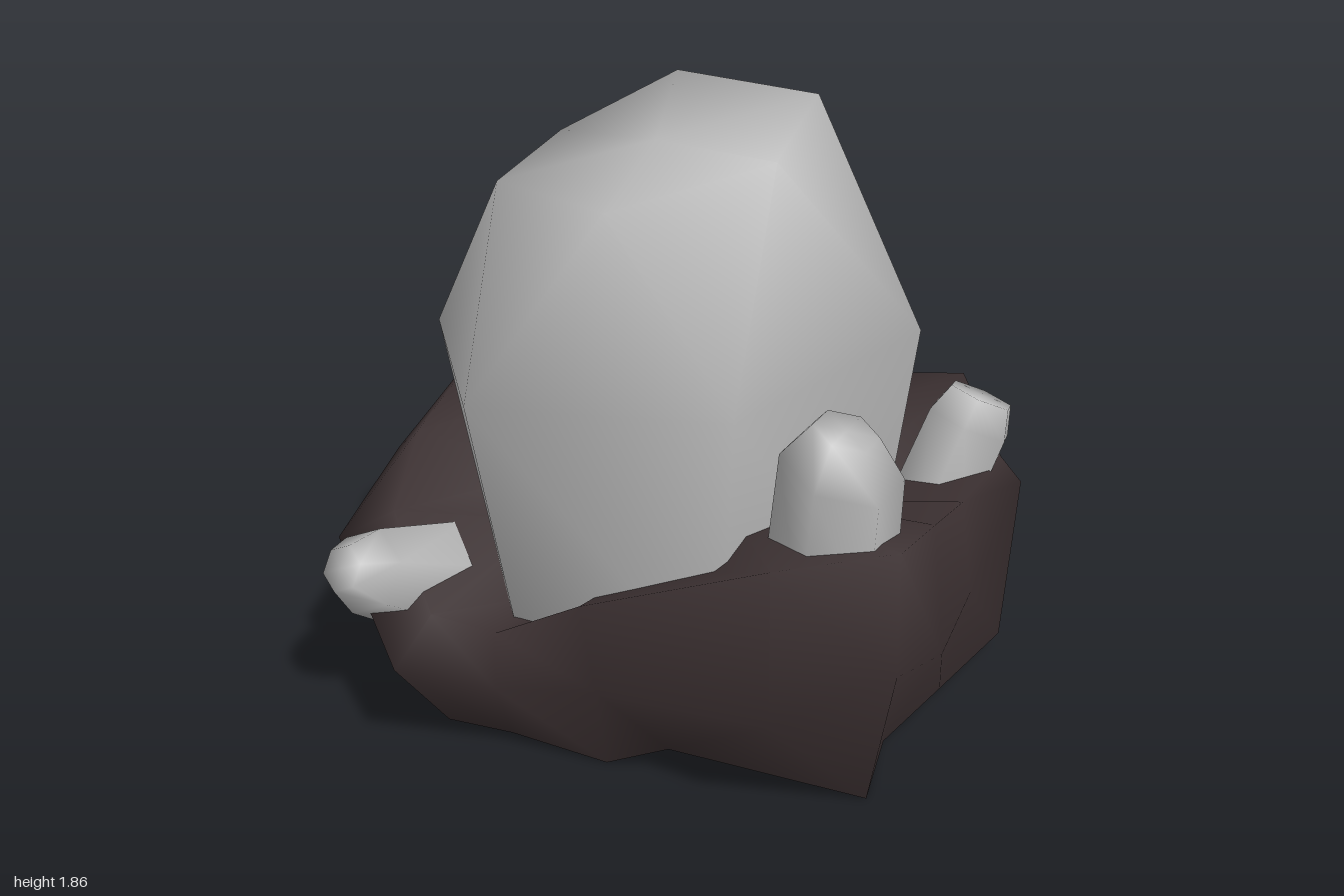
import * as THREE from 'three';

const rockMaterial = new THREE.MeshStandardMaterial({ color: 0x3a2f30 });
rockMaterial.name = 'dark brown rock';
const crystalMaterial = new THREE.MeshStandardMaterial({ color: 0xb6b6b6 });
crystalMaterial.name = 'pale grey crystal';

// Skin a stack of rings (each listed counter-clockwise seen from above)
function loft(rings, { capTop = false, capBottom = false } = {}) {
  const n = rings[0].length;
  const points = rings.flat();
  const index = [];
  for (let r = 0; r < rings.length - 1; r++) {
    for (let j = 0; j < n; j++) {
      const k = (j + 1) % n;
      const a = r * n + j, b = r * n + k, c = a + n, d = b + n;
      index.push(a, b, c, b, d, c);
    }
  }
  const mean = (ring) => [0, 1, 2].map((i) => ring.reduce((s, p) => s + p[i], 0) / n);
  if (capTop) {
    const start = (rings.length - 1) * n;
    const centre = points.push(mean(rings[rings.length - 1])) - 1;
    for (let j = 0; j < n; j++) index.push(centre, start + j, start + (j + 1) % n);
  }
  if (capBottom) {
    // own vertices keep the lower edge sharp
    const start = points.length;
    points.push(...rings[0]);
    const centre = points.push(mean(rings[0])) - 1;
    for (let j = 0; j < n; j++) index.push(centre, start + (j + 1) % n, start + j);
  }
  const geometry = new THREE.BufferGeometry();
  geometry.setAttribute('position', new THREE.Float32BufferAttribute(points.flat(), 3));
  geometry.setIndex(index);
  geometry.computeVertexNormals();
  return geometry;
}

function addMesh(group, name, geometry, material) {
  const mesh = new THREE.Mesh(geometry, material);
  mesh.name = name;
  group.add(mesh);
  return mesh;
}

// Rough rock bed: foot, widest ring, rim, and a lip tucked inside the crystal
function rockGeometry() {
  const foot = [
    [-0.86, 0, 0.13], [-0.79, 0.02, 0.45], [-0.55, 0.06, 0.74], [-0.35, 0.04, 0.72], [-0.05, 0, 0.72],
    [0.15, 0.11, 0.74], [0.72, 0, 0.65], [0.72, 0.02, 0.4], [0.84, 0.03, 0.1], [0.98, 0.06, -0.22],
    [0.74, 0.02, -0.53], [0.27, 0.12, -0.65], [-0.05, 0, -0.73], [-0.33, 0, -0.45], [-0.61, 0, -0.14],
  ];
  const waist = [
    [-1, 0.6, 0.1], [-0.95, 0.55, 0.6], [-0.6, 0.37, 0.95], [-0.33, 0.3, 0.86], [-0.05, 0.3, 0.79],
    [0.5, 0.42, 0.95], [0.8, 0.5, 0.74], [0.88, 0.4, 0.45], [0.91, 0.4, 0.1], [1, 0.6, -0.28],
    [0.78, 0.4, -0.58], [0.4, 0.45, -0.65], [-0.08, 0.33, -0.76], [-0.57, 0.45, -0.66], [-0.88, 0.5, -0.41],
  ];
  const rim = [
    [-0.93, 0.67, 0.08], [-0.82, 0.6, 0.48], [-0.56, 0.46, 0.78], [-0.35, 0.45, 0.8], [-0.1, 0.57, 0.77],
    [0.48, 0.86, 0.89], [0.79, 0.88, 0.73], [0.83, 0.8, 0.42], [0.86, 0.68, 0.05], [0.93, 0.68, -0.28],
    [0.76, 0.83, -0.55], [0.4, 0.76, -0.6], [-0.08, 0.7, -0.63], [-0.5, 0.85, -0.58], [-0.83, 0.89, -0.43],
  ];
  const lip = rim.map(([x, y, z]) => [x * 0.5, y - 0.1, z * 0.5]);
  return loft([foot, waist, rim, lip], { capBottom: true });
}

// Main crystal: six sides, leaning shoulders and a slanted, twisted crown
function mainCrystalGeometry() {
  const root = [
    [-0.65, 0.3, 0.13], [-0.34, 0.3, 0.65], [0.28, 0.3, 0.64],
    [0.6, 0.3, 0.12], [0.31, 0.3, -0.48], [-0.36, 0.3, -0.47],
  ];
  const shoulder = [
    [-0.8, 1.1, 0.13], [-0.41, 1.15, 0.78], [0.34, 1.2, 0.75],
    [0.71, 1.25, 0.12], [0.34, 1.41, -0.53], [-0.41, 1.36, -0.5],
  ];
  const crown = [
    [-0.46, 1.66, 0.38], [-0.05, 1.69, 0.64], [0.34, 1.78, 0.36],
    [0.35, 1.86, -0.06], [-0.12, 1.86, -0.21], [-0.36, 1.75, 0.14],
  ];
  return loft([root, shoulder, crown], { capTop: true });
}

// Small six-sided crystal growing from one point towards another
function addShard(group, name, from, to, { root, shoulder, tip, turn = 0, slant = 0, width = 1 }) {
  const start = new THREE.Vector3(...from);
  const axis = new THREE.Vector3(...to).sub(start);
  const length = axis.length();
  const ring = (radius, height, tilt) => Array.from({ length: 6 }, (_, j) => {
    const a = turn + (j * Math.PI) / 3;
    const x = -Math.cos(a) * radius * width;
    return [x, height + x * tilt, Math.sin(a) * radius];
  });
  const geometry = loft([
    ring(root, 0, 0), ring(shoulder, length * 0.78, slant), ring(tip, length, slant),
  ], { capTop: true, capBottom: true });
  const mesh = addMesh(group, name, geometry, crystalMaterial);
  mesh.position.copy(start);
  mesh.quaternion.setFromUnitVectors(new THREE.Vector3(0, 1, 0), axis.normalize());
}

export function createModel() {
  const model = new THREE.Group();
  model.name = 'crystalCluster';

  addMesh(model, 'rockBase', rockGeometry(), rockMaterial);
  addMesh(model, 'mainCrystal', mainCrystalGeometry(), crystalMaterial);

  addShard(model, 'frontLeftCrystal', [0.57, 0.65, 0.58], [0.61, 1.16, 0.63],
    { root: 0.185, shoulder: 0.17, tip: 0.09, turn: 0.3, slant: -0.2 });
  addShard(model, 'leftSideCrystal', [0.72, 0.48, -0.19], [0.85, 0.87, -0.31],
    { root: 0.15, shoulder: 0.145, tip: 0.11, turn: 0.5 });
  addShard(model, 'frontRightCrystal', [-0.67, 0.37, 0.46], [-0.79, 0.62, 0.86],
    { root: 0.19, shoulder: 0.13, tip: 0.07, turn: 0.2 });
  addShard(model, 'backCrystal', [-0.28, 0.47, -0.5], [-0.31, 0.53, -0.94],
    { root: 0.27, shoulder: 0.265, tip: 0.15, turn: 0.5, slant: 0.1, width: 0.85 });

  return model;
}
